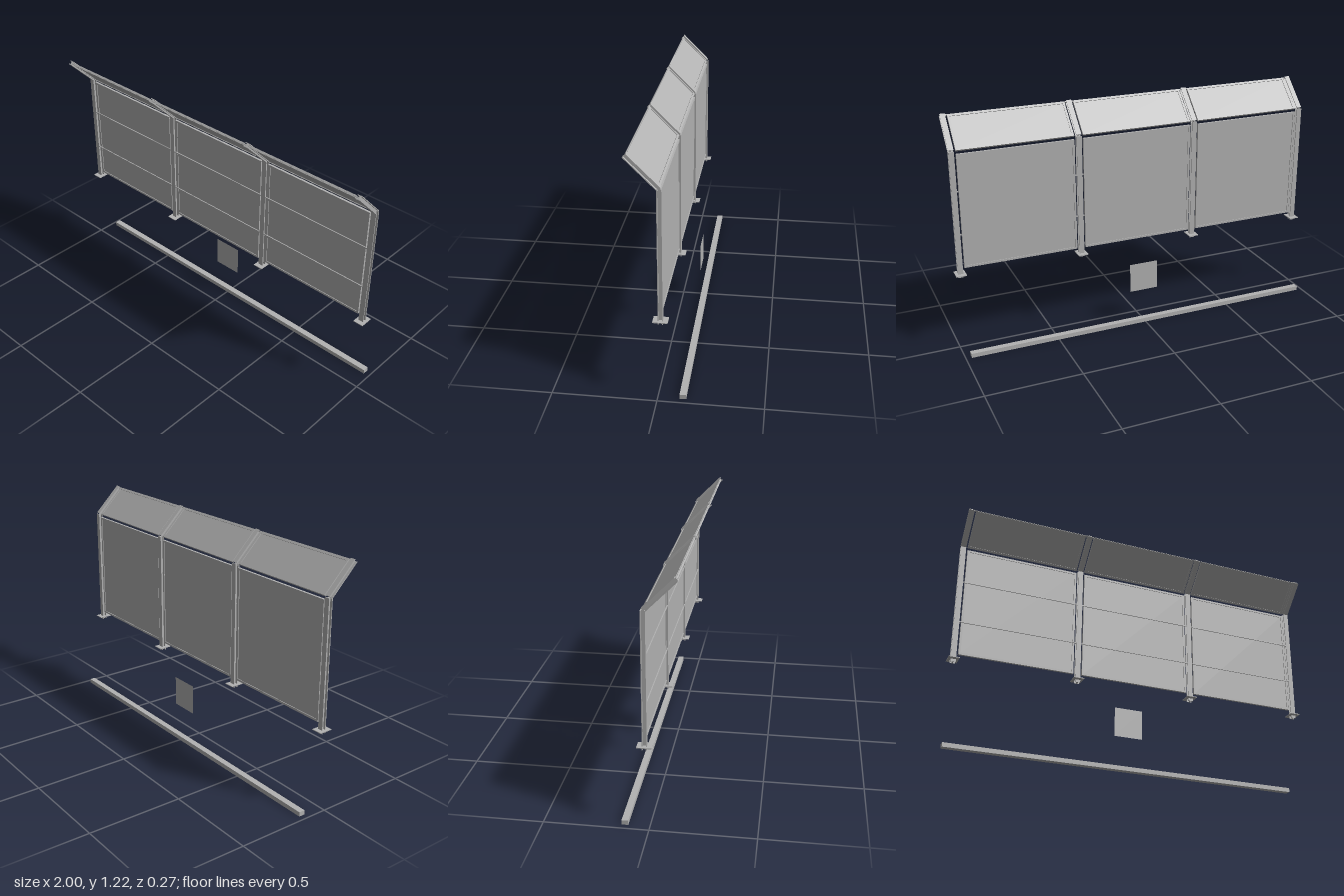
import * as THREE from 'three';

export function createModel() {
  const model = new THREE.Group();
  model.name = 'barrierWall';
  const grey = new THREE.MeshStandardMaterial({ color: 0xb2b2b2, side: THREE.DoubleSide });
  grey.name = 'light grey metal';

  const POST_Z = -0.018;      // wall plane
  const BEND_Y = 1.071;       // where posts lean forward
  const PITCH = 0.6487;       // post spacing
  const END = 0.973;          // outermost post centre

  const add = (parent, name, geometry, x = 0, y = 0, z = 0) => {
    const mesh = new THREE.Mesh(geometry, grey);
    mesh.name = name;
    mesh.position.set(x, y, z);
    parent.add(mesh);
    return mesh;
  };
  const box = (parent, name, w, h, d, x, y, z) =>
    add(parent, name, new THREE.BoxGeometry(w, h, d), x, y, z);

  // H-section bar standing on its origin, flanges facing front and back
  const hBar = (length) => {
    const w = 0.0135, d = 0.0115, f = 0.0075, t = 0.0025;
    const corners = [[-w, -d], [w, -d], [w, -f], [t, -f], [t, f], [w, f],
      [w, d], [-w, d], [-w, f], [-t, f], [-t, -f], [-w, -f]];
    const shape = new THREE.Shape(corners.map(([x, y]) => new THREE.Vector2(x, y)));
    return new THREE.ExtrudeGeometry(shape, { depth: length, bevelEnabled: false })
      .rotateX(-Math.PI / 2);
  };

  // Framed sheet standing on its origin
  const panel = (name, w, h) => {
    const group = new THREE.Group();
    group.name = name;
    const f = 0.011, t = 0.012;
    box(group, 'sheet', w - f, h - f, 0.005, 0, h / 2, 0);
    for (const s of [-1, 1]) {
      box(group, 'frameSide', f, h, t, s * (w - f) / 2, h / 2, 0);
      box(group, 'frameRail', w - 2 * f, f, t, 0, h / 2 + s * (h - f) / 2, 0);
    }
    return group;
  };

  // Everything above the bend leans forward at 45 degrees
  const canopy = new THREE.Group();
  canopy.name = 'canopy';
  canopy.position.set(0, BEND_Y, POST_Z);
  canopy.rotation.x = Math.PI / 4;
  model.add(canopy);

  // Posts with foot plates and leaning arms
  for (let i = 0; i < 4; i++) {
    const x = -END + i * PITCH;
    add(model, 'post', hBar(BEND_Y - 0.408), x, 0.408, POST_Z);
    box(model, 'footPlate', 0.054, 0.004, 0.07, x, 0.425, POST_Z);
    add(canopy, 'arm', hBar(0.204), x, 0, 0);
  }

  // Wall and canopy panels
  for (let i = -1; i <= 1; i++) {
    const wall = panel('wallPanel', 0.602, 0.6);
    wall.position.set(i * PITCH, 0.455, POST_Z);
    model.add(wall);
    const roof = panel('canopyPanel', 0.602, 0.2);
    roof.position.set(i * PITCH, 0, 0);
    canopy.add(roof);
  }

  // Long thin rails
  box(canopy, 'canopyRail', 2 * END, 0.006, 0.006, 0, 0.2, 0);
  box(model, 'upperRail', 2 * END, 0.006, 0.005, 0, 0.86, -0.0095);
  box(model, 'lowerRail', 2 * END, 0.005, 0.005, 0, 0.632, -0.0095);

  // Detached beam and square plate behind the wall
  box(model, 'groundBeam', 1.942, 0.023, 0.032, 0, 0.0115, -0.118);
  add(model, 'squarePlate', new THREE.PlaneGeometry(0.158, 0.16), 0, 0.262, -0.102);

  return model;
}
